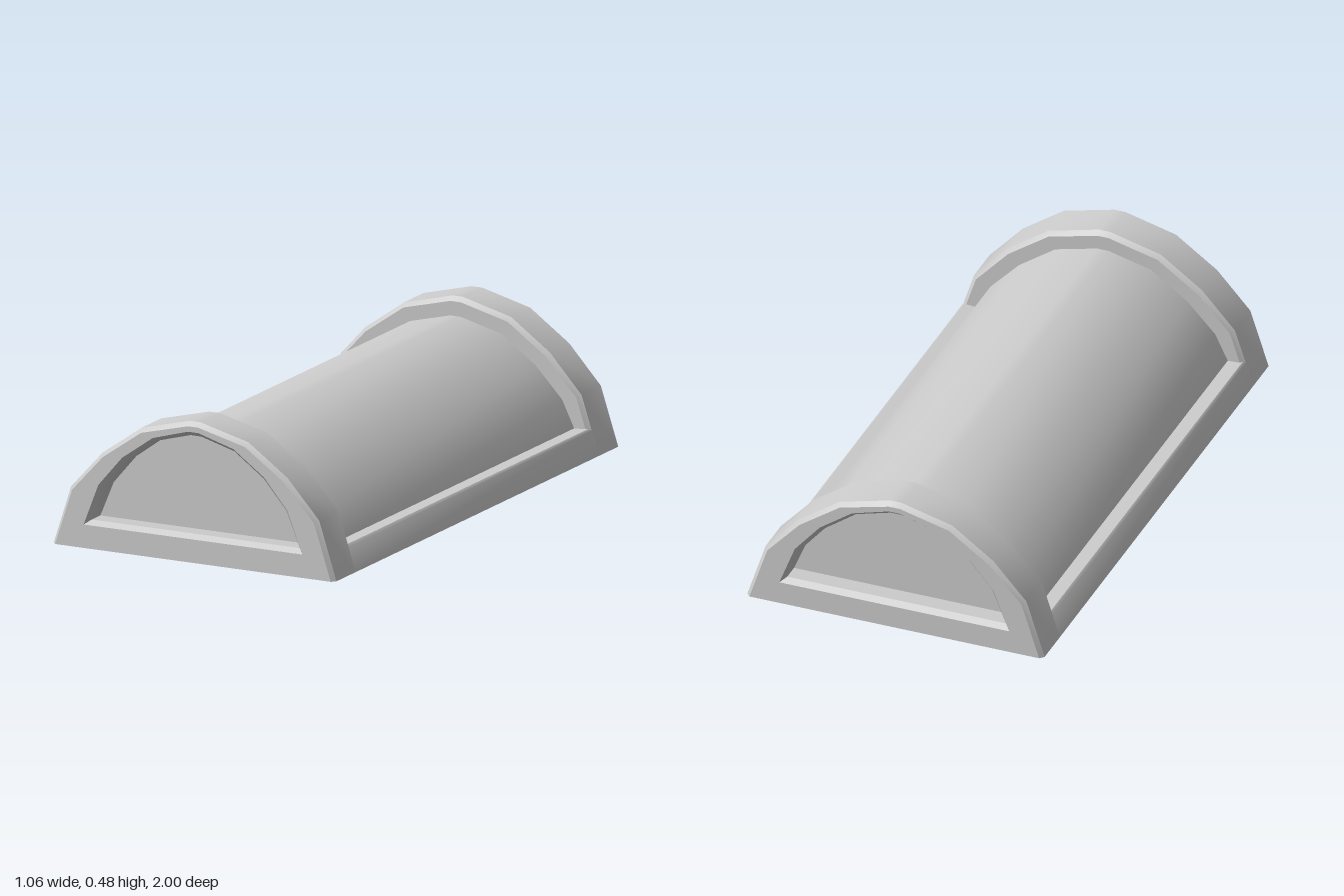
import * as THREE from 'three';
import { toCreasedNormals } from 'three/addons/utils/BufferGeometryUtils.js';

const material = new THREE.MeshStandardMaterial({ color: 0xcccccc });
const CREASE = 0.6;

// Half profiles on the +x side, from the foot to the crown
const OUTER = [[0.53, 0], [0.465, 0.2], [0.347, 0.33], [0.2, 0.434], [0.02, 0.48]];
const LIP = [[0.41, 0.08], [0.355, 0.222], [0.266, 0.326], [0.151, 0.408], [0.02, 0.446]];
const OPENING = [[0.39, 0.095], [0.34, 0.215], [0.255, 0.315], [0.145, 0.395], [0.02, 0.43]];
const BARREL = [[0.445, 0.087], [0.4, 0.18], [0.3, 0.285], [0.17, 0.377], [0.02, 0.415]];
const RAIL = [[0.53, 0], [0.503, 0.083], [0.495, 0.09]];

const mirror = (half) => [...half, ...half.slice().reverse().map(([x, y]) => [-x, y])];
const inset = (half) => half.map(([x, y]) => [x * 0.975, y * 0.968]);

// Skins a row of rings (half profile + z) and closes the first one with a flat cap
function loft(rings) {
  const positions = [], index = [];
  const n = rings[0].half.length * 2;
  for (const { half, z } of rings) {
    for (const [x, y] of mirror(half)) positions.push(x, y, z);
  }
  for (let r = 0; r < rings.length - 1; r++) {
    for (let j = 0; j < n; j++) {
      const a = r * n + j, b = r * n + (j + 1) % n;
      index.push(a, a + n, b, b, a + n, b + n);
    }
  }
  for (let j = 1; j < n - 1; j++) index.push(0, j, j + 1);
  const g = new THREE.BufferGeometry();
  g.setAttribute('position', new THREE.Float32BufferAttribute(positions, 3));
  g.setIndex(index);
  return toCreasedNormals(g, CREASE);
}

export function createModel() {
  const group = new THREE.Group();
  group.name = 'archedLid';

  // Barrel vault with the two side rails along its foot
  const section = mirror([...RAIL, ...BARREL]).map(([x, y]) => new THREE.Vector2(x, y));
  const bodyGeometry = new THREE.ExtrudeGeometry(new THREE.Shape(section), { depth: 1.72, bevelEnabled: false });
  bodyGeometry.translate(0, 0, -0.86);
  const body = new THREE.Mesh(toCreasedNormals(bodyGeometry, CREASE), material);
  body.name = 'barrelAndRails';
  group.add(body);

  // Arched end frame: recessed panel, bevelled opening, bevelled rim, inner face
  const frameGeometry = loft([
    { half: OPENING, z: 0.92 },
    { half: OPENING, z: 0.98 },
    { half: LIP, z: 1 },
    { half: inset(OUTER), z: 1 },
    { half: OUTER, z: 0.985 },
    { half: OUTER, z: 0.85 },
    { half: inset(OUTER), z: 0.835 },
    { half: BARREL, z: 0.835 },
  ]);
  for (const [name, turn] of [['frontFrame', 0], ['backFrame', Math.PI]]) {
    const frame = new THREE.Mesh(frameGeometry, material);
    frame.name = name;
    frame.rotation.y = turn;
    group.add(frame);
  }
  return group;
}
